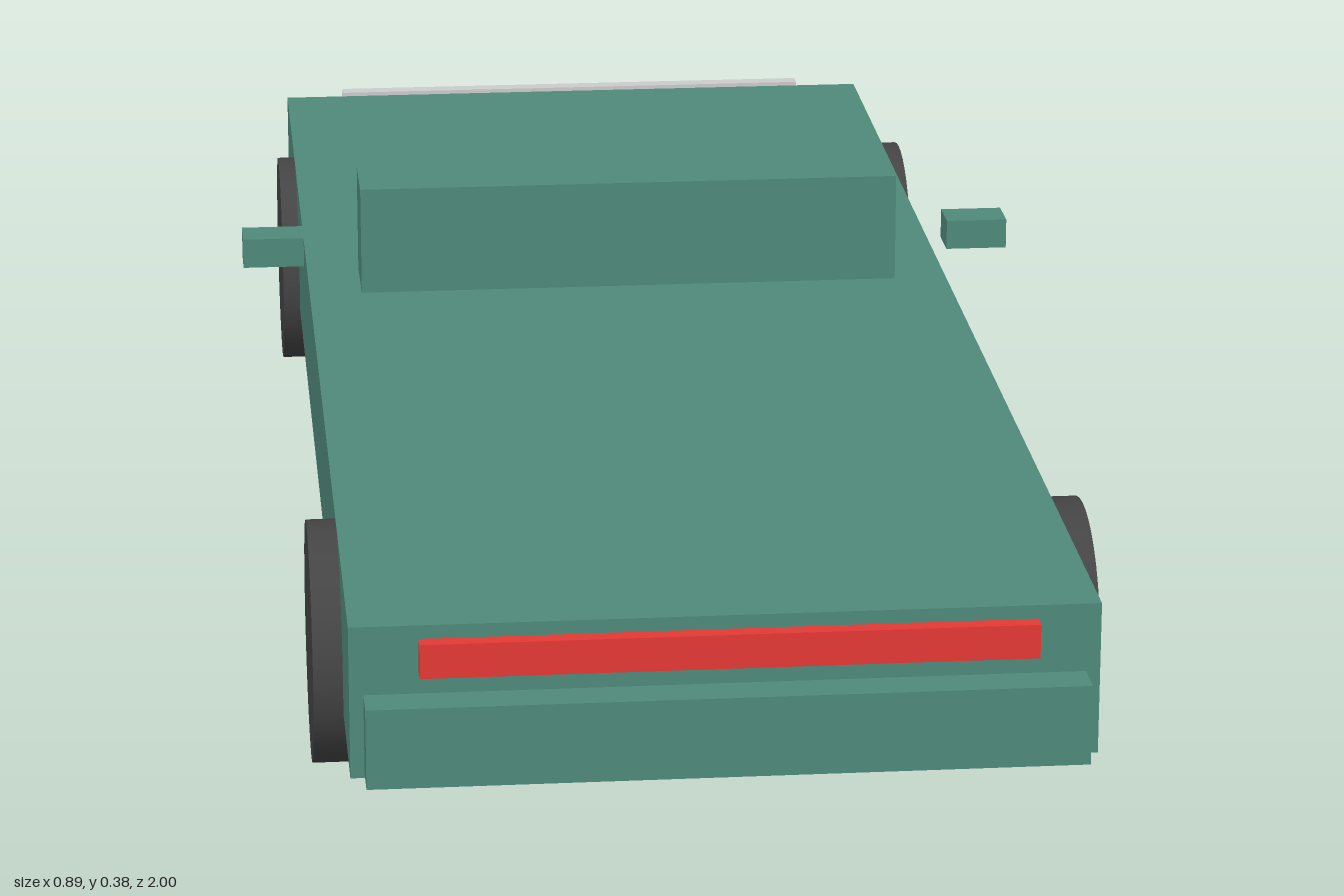
import * as THREE from 'three';

const material = (color) => new THREE.MeshStandardMaterial({ color });

export function createModel() {
  const car = new THREE.Group();
  car.name = 'car';
  const paint = material(0x4f8a7b);
  const rubber = material(0x444444);
  const red = material(0xe53935);
  const white = material(0xcccccc);

  // Box given by its [min, max] range along each axis
  function box(name, mat, [x0, x1], [y0, y1], [z0, z1]) {
    const mesh = new THREE.Mesh(new THREE.BoxGeometry(x1 - x0, y1 - y0, z1 - z0), mat);
    mesh.position.set((x0 + x1) / 2, (y0 + y1) / 2, (z0 + z1) / 2);
    mesh.name = name;
    car.add(mesh);
  }

  // Slab body and the low cabin block across it
  box('body', paint, [-0.37, 0.37], [0.093, 0.251], [-0.957, 0.957]);
  box('windscreen', paint, [-0.31, 0.31], [0.251, 0.375], [-0.206, -0.113]);

  // Bumpers
  box('frontBumper', paint, [-0.356, 0.356], [0.097, 0.18], [0.957, 0.997]);
  box('rearBumper', paint, [-0.356, 0.356], [0.097, 0.18], [-0.996, -0.957]);

  // Light bars and the dark panel at the tail
  box('frontLightBar', red, [-0.303, 0.303], [0.212, 0.247], [0.983, 1]);
  box('rearLightBar', white, [-0.297, 0.297], [0.214, 0.249], [-1, -0.981]);
  box('rearPanel', rubber, [-0.25, 0.25], [0.146, 0.214], [-1, -0.985]);

  for (const side of [-1, 1]) {
    const prefix = side > 0 ? 'left' : 'right';

    // Side mirror
    const span = [side * 0.375, side * 0.445].sort((a, b) => a - b);
    box(prefix + 'Mirror', paint, span, [0.275, 0.309], [-0.193, -0.145]);

    // Wheels; the front pair sits slightly wider
    for (const [end, z, outer] of [['Front', 0.665, 0.4], ['Rear', -0.665, 0.39]]) {
      const width = outer - 0.291;
      const geometry = new THREE.CylinderGeometry(0.125, 0.125, width, 40).rotateZ(Math.PI / 2);
      const wheel = new THREE.Mesh(geometry, rubber);
      wheel.position.set(side * (outer - width / 2), 0.125, z);
      wheel.name = prefix + end + 'Wheel';
      car.add(wheel);
    }
  }
  return car;
}
